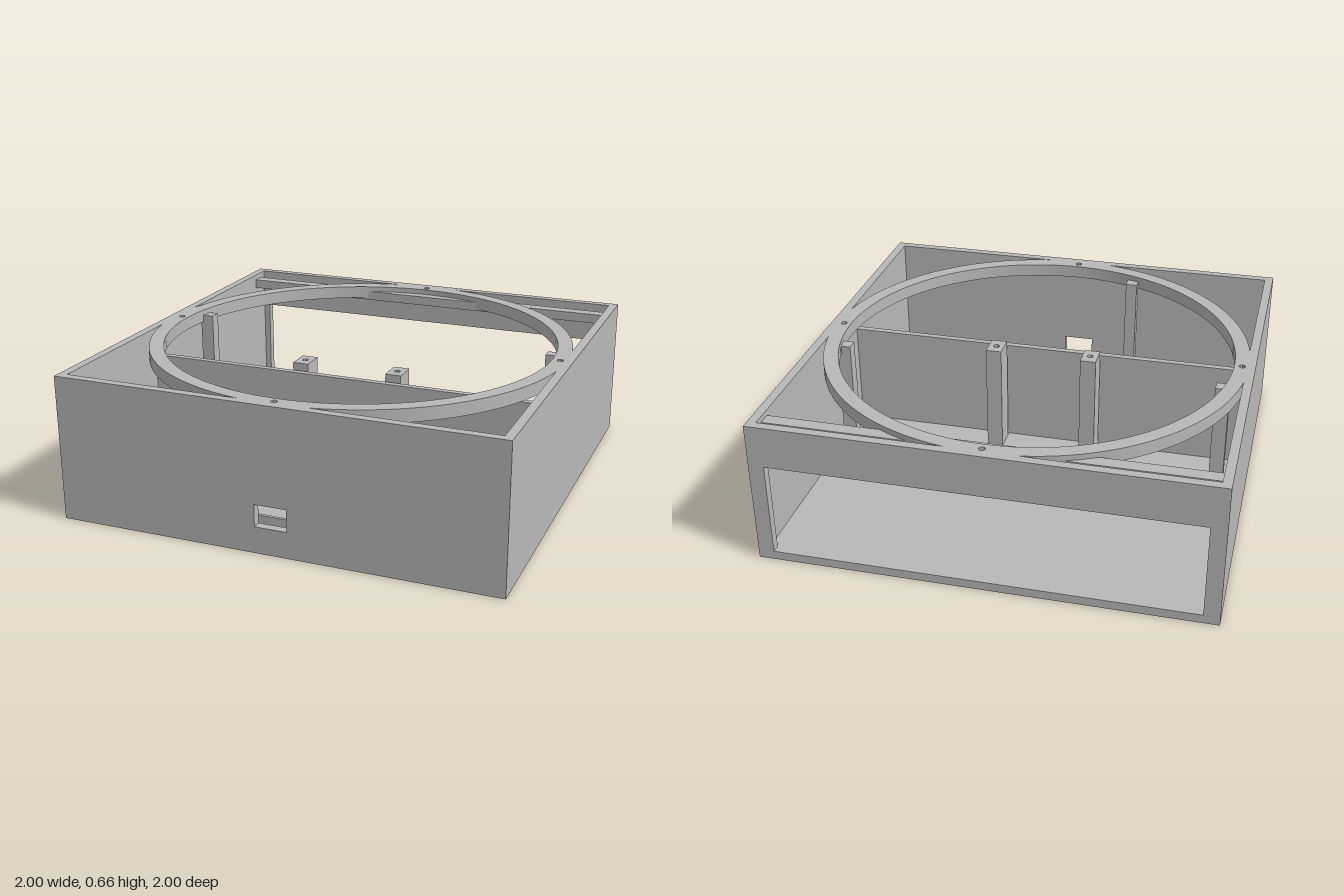
import * as THREE from 'three';
import { toCreasedNormals } from 'three/addons/utils/BufferGeometryUtils.js';

const H = 0.66, WALL = 0.04, IN = 0.96;

export function createModel() {
  const model = new THREE.Group();
  const grey = new THREE.MeshStandardMaterial({ color: 0xb8b8b8 });
  grey.name = 'plain grey';

  const add = (name, geometry) => {
    const mesh = new THREE.Mesh(geometry, grey);
    mesh.name = name;
    model.add(mesh);
    return mesh;
  };
  // Box given by its lower and upper limits on each axis
  const box = (name, x0, x1, y0, y1, z0, z1) =>
    add(name, new THREE.BoxGeometry(x1 - x0, y1 - y0, z1 - z0)
      .translate((x0 + x1) / 2, (y0 + y1) / 2, (z0 + z1) / 2));

  const trace = (path, x0, x1, y0, y1) => {
    path.moveTo(x0, y0).lineTo(x1, y0).lineTo(x1, y1).lineTo(x0, y1).closePath();
    return path;
  };
  const rect = (...a) => trace(new THREE.Shape(), ...a);
  const rectHole = (...a) => trace(new THREE.Path(), ...a);
  const disc = (path, x, y, r) => path.absarc(x, y, r, 0, Math.PI * 2);
  const extrude = (shape, depth, curveSegments = 24) =>
    toCreasedNormals(new THREE.ExtrudeGeometry(shape, { depth, bevelEnabled: false, curveSegments }), 0.6);
  // Horizontal plate: the shape is drawn with y = -z
  const plate = (name, shape, y0, y1, segments) =>
    add(name, extrude(shape, y1 - y0, segments).rotateX(-Math.PI / 2).translate(0, y0, 0));

  // Floor with four cable tie slots
  const floor = rect(-1, 1, -1, 1);
  for (const x of [-0.118, 0.118])
    for (const z of [0.51, 0.87])
      floor.holes.push(rectHole(x - 0.02, x + 0.02, -z - 0.01, -z + 0.01));
  plate('floor', floor, 0, WALL);

  // Side walls
  box('rightWall', -1, -IN, WALL, H, -IN, IN);
  box('leftWall', IN, 1, WALL, H, -IN, IN);

  // Front wall with a socket opening
  const front = rect(-1, 1, WALL, H);
  front.holes.push(rectHole(-0.075, 0.07, 0.12, 0.22));
  add('frontWall', extrude(front, WALL).translate(0, 0, IN));

  // Back wall with a wide opening down to the floor
  const back = new THREE.Shape();
  back.moveTo(-1, WALL).lineTo(-0.93, WALL).lineTo(-0.93, 0.47).lineTo(0.93, 0.47)
    .lineTo(0.93, WALL).lineTo(1, WALL).lineTo(1, H).lineTo(-1, H).closePath();
  add('backWall', extrude(back, WALL).translate(0, 0, -1));

  // Rail behind the back wall, leaving a slot for a panel
  box('panelRail', -IN, IN, 0.59, 0.635, -0.915, -0.855);

  // Top ring with four screw holes
  const ring = disc(new THREE.Shape(), 0, 0, 0.972);
  ring.holes.push(disc(new THREE.Path(), 0, 0, 0.905));
  for (const [x, y] of [[0.94, 0], [-0.94, 0], [0, 0.94], [0, -0.94]])
    ring.holes.push(disc(new THREE.Path(), x, y, 0.014));
  plate('topRing', ring, 0.6, H, 96);

  // Cross wall
  box('divider', -IN, IN, WALL, 0.53, 0.2, 0.23);

  // Slim posts beside the ring
  for (const s of [-1, 1])
    box('sidePost', s * 0.875 - 0.032, s * 0.875 + 0.032, WALL, 0.635, -0.185, -0.13);
  box('frontPost', -0.33, -0.275, WALL, 0.635, 0.8, 0.855);

  // Screw posts behind the divider
  for (const x of [-0.227, 0.227]) {
    const post = rect(x - 0.037, x + 0.037, -0.182, -0.07);
    post.holes.push(disc(new THREE.Path(), x, -0.125, 0.014));
    plate('screwPost', post, WALL, 0.56);
  }

  // Circuit board tray: low rim and four pegs
  const rim = rect(-0.288, 0.285, -0.853, -0.54);
  rim.holes.push(rectHole(-0.275, 0.275, -0.838, -0.553));
  plate('trayRim', rim, WALL, 0.1);
  for (const x of [-0.235, 0.235])
    for (const z of [0.59, 0.805])
      add('trayPeg', new THREE.CylinderGeometry(0.02, 0.02, 0.06, 24)).position.set(x, WALL + 0.03, z);

  return model;
}
